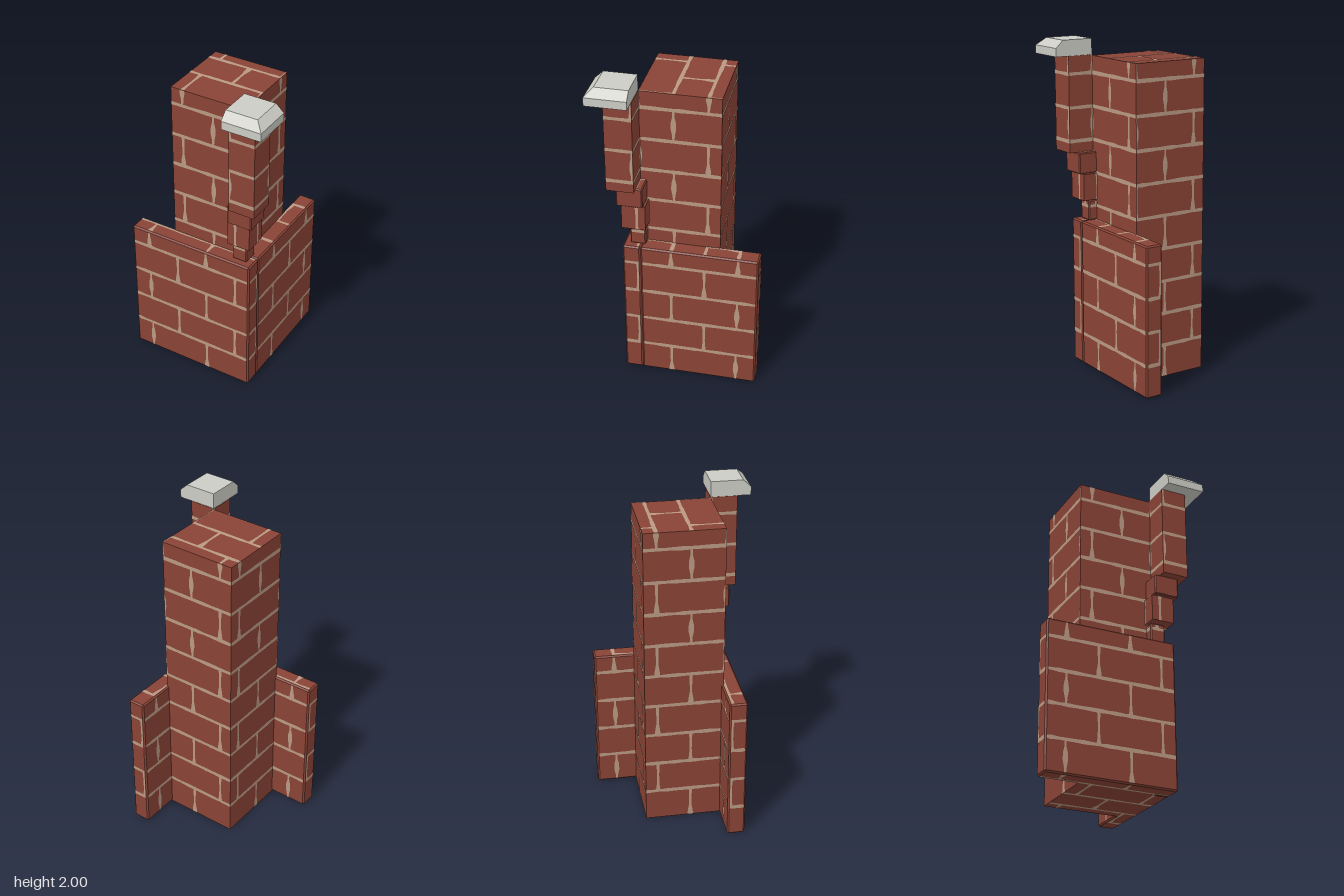
import * as THREE from 'three';
import { ConvexGeometry } from 'three/addons/geometries/ConvexGeometry.js';

const brick = new THREE.MeshStandardMaterial({ color: 0x8a4336 });
brick.name = 'brick red';
const mortar = new THREE.MeshStandardMaterial({ color: 0xb99983 });
mortar.name = 'mortar tan';
const stone = new THREE.MeshStandardMaterial({ color: 0xcdcdc6 });
stone.name = 'cap stone';

const COURSE = 0.2, LIFT = 0.002;

// Half widths of an upright joint from bottom to top
const JOINTS = [
  [0.015, 0.009, 0.007, 0.007, 0.008, 0.012],
  [0.006, 0.008, 0.016, 0.015, 0.006, 0.006],
  [0.018, 0.014, 0.007, 0.007, 0.009, 0.01],
];

const clamp = THREE.MathUtils.clamp;
const noise = (a, b) => {
  const s = Math.sin(a * 12.9898 + b * 78.233) * 43758.5453;
  return s - Math.floor(s);
};

// Box with every edge cut at 45 degrees
function chamferBox(min, max, c) {
  const pts = [];
  for (let i = 0; i < 8; i++) {
    for (let axis = 0; axis < 3; axis++) {
      const p = [0, 1, 2].map((k) => {
        const high = (i >> k) & 1;
        const inset = k === axis ? 0 : c;
        return high ? max[k] - inset : min[k] + inset;
      });
      pts.push(new THREE.Vector3(...p));
    }
  }
  return new ConvexGeometry(pts);
}

// Adds the mortar lines of one rectangular face, clipped to its outline
function addFaceMortar(out, min, max, axis, sign, inset) {
  const [ua, va] = [[2, 1], [0, 2], [0, 1]][axis];
  const flip = (axis === 2) !== (sign > 0);
  const u0 = min[ua] + inset, u1 = max[ua] - inset;
  const v0 = min[va] + inset, v1 = max[va] - inset;
  const level = (sign > 0 ? max[axis] : min[axis]) + sign * LIFT;
  const base = axis === 1 ? -0.16 : 0;

  const quad = (corners) => {
    const c = corners.map(([u, v]) => [clamp(u, u0, u1), clamp(v, v0, v1)]);
    const us = c.map((p) => p[0]), vs = c.map((p) => p[1]);
    if (Math.max(...us) - Math.min(...us) < 1e-4 || Math.max(...vs) - Math.min(...vs) < 1e-4) return;
    const order = flip ? [0, 2, 1, 0, 3, 2] : [0, 1, 2, 0, 2, 3];
    for (const i of order) {
      const p = [0, 0, 0];
      p[ua] = c[i][0];
      p[va] = c[i][1];
      p[axis] = level;
      out.push(...p);
    }
  };

  const first = Math.floor((v0 - base) / COURSE), last = Math.floor((v1 - base) / COURSE);
  for (let k = first; k <= last; k++) {
    const v = base + k * COURSE;
    // Bed joint with a slightly uneven width
    const half = (i) => 0.008 + 0.005 * noise(i, k + 20);
    if (axis === 1 || k > 0) {
      for (let i = -10; i < 10; i++) {
        const a = i * 0.05, b = a + 0.05;
        quad([[a, v - half(i)], [b, v - half(i + 1)], [b, v + half(i + 1)], [a, v + half(i)]]);
      }
    }
    // Upright joints, shifted by half a brick on every other course
    const start = k % 2 === 0 ? -0.36 : -0.16;
    for (let j = 0; j < 3; j++) {
      const u = start + j * 0.4;
      const w = JOINTS[Math.floor(noise(j + 3, k + 7) * JOINTS.length)];
      for (let i = 0; i < w.length - 1; i++) {
        const a = v + (i / 5) * COURSE, b = v + ((i + 1) / 5) * COURSE;
        quad([[u - w[i], a], [u + w[i], a], [u + w[i + 1], b], [u - w[i + 1], b]]);
      }
    }
  }
}

// A block of masonry: brick body plus thin mortar faces
function masonry(name, min, max, chamfer = 0) {
  const group = new THREE.Group();
  group.name = name;
  let geo;
  if (chamfer) {
    geo = chamferBox(min, max, chamfer);
  } else {
    geo = new THREE.BoxGeometry(...max.map((m, i) => m - min[i]));
    geo.translate(...max.map((m, i) => (m + min[i]) / 2));
  }
  const body = new THREE.Mesh(geo, brick);
  body.name = name + 'Bricks';
  group.add(body);

  const positions = [];
  for (let axis = 0; axis < 3; axis++) {
    for (const sign of [-1, 1]) addFaceMortar(positions, min, max, axis, sign, chamfer);
  }
  if (positions.length) {
    const lines = new THREE.BufferGeometry();
    lines.setAttribute('position', new THREE.Float32BufferAttribute(positions, 3));
    lines.computeVertexNormals();
    const mesh = new THREE.Mesh(lines, mortar);
    mesh.name = name + 'Mortar';
    group.add(mesh);
  }
  return group;
}

// Cap stone sloped on its two outer sides only
function capStone() {
  const pts = [];
  for (const [y, outer] of [[1.905, 0.48], [1.955, 0.48], [2, 0.432]]) {
    for (const x of [0.238, outer]) {
      for (const z of [0.238, outer]) pts.push(new THREE.Vector3(x, y, z));
    }
  }
  const mesh = new THREE.Mesh(new ConvexGeometry(pts), stone);
  mesh.name = 'capStone';
  return mesh;
}

export function createModel() {
  const model = new THREE.Group();
  model.name = 'brickCornerPillar';
  const y0 = LIFT;

  // Square core and the two low walls that wrap its corner
  model.add(masonry('core', [-0.235, y0, -0.235], [0.238, 1.9, 0.238]));
  model.add(masonry('frontWall', [-0.48, y0, 0.225], [0.332, 0.91, 0.332], 0.009));
  model.add(masonry('sideWall', [0.225, y0, -0.48], [0.332, 0.91, 0.225], 0.009));

  // Stepped corbels and post: inner edge, outer edge, bottom, top, chamfer
  const steps = [
    ['lowerCorbel', 0.2, 0.292, 0.912, 1.035, 0.006],
    ['middleCorbel', 0.19, 0.332, 1.04, 1.2, 0],
    ['upperCorbel', 0.2, 0.355, 1.203, 1.33, 0.006],
    ['cornerPost', 0.236, 0.398, 1.33, 1.905, 0],
  ];
  for (const [name, inner, outer, bottom, top, chamfer] of steps) {
    model.add(masonry(name, [inner, bottom, inner], [outer, top, outer], chamfer));
  }
  model.add(capStone());
  return model;
}
